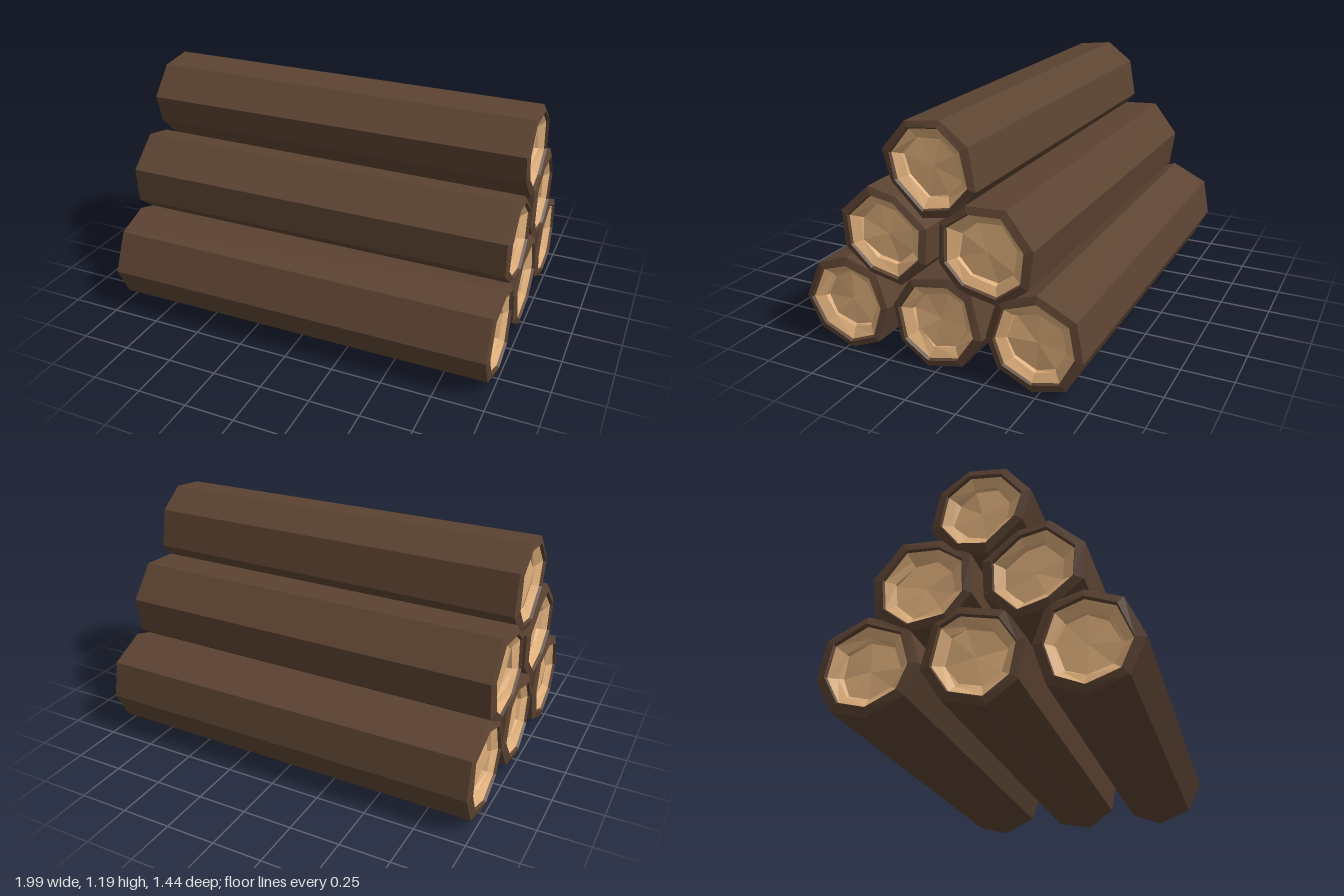
import * as THREE from 'three';

// Eight-sided log outlines as [z, y], clockwise seen from the +x end
const LOGS = {
  bottomFrontLog: [[.72, .24], [.635, .43], [.47, .49], [.31, .44], [.25, .265], [.31, .08], [.465, .015], [.645, .085]],
  bottomMiddleLog: [[.225, .3], [.13, .445], [-.085, .49], [-.19, .43], [-.24, .215], [-.135, .06], [.05, .02], [.19, .12]],
  bottomBackLog: [[-.25, .25], [-.305, .435], [-.5, .5], [-.685, .41], [-.72, .225], [-.64, .07], [-.475, .025], [-.305, .105]],
  middleFrontLog: [[.48, .72], [.325, .86], [.18, .83], [.025, .7], [.035, .525], [.17, .4], [.335, .435], [.47, .545]],
  middleBackLog: [[-.035, .75], [-.165, .845], [-.36, .855], [-.49, .69], [-.465, .505], [-.325, .4], [-.125, .435], [-.025, .555]],
  topLog: [[.24, 1.04], [.12, 1.18], [-.055, 1.2], [-.19, 1.1], [-.225, .905], [-.115, .775], [.045, .745], [.2, .895]],
};

// Small repeatable noise in -1..1
const noise = (n) => {
  const s = Math.sin(n * 12.9898) * 43758.5453;
  return 2 * (s - Math.floor(s)) - 1;
};

// Cross-section at x: outline scaled about its centre, with slight wobble
function ring(outline, x, scale, wobble = 0, seed = 0) {
  const cz = outline.reduce((s, p) => s + p[0], 0) / outline.length;
  const cy = outline.reduce((s, p) => s + p[1], 0) / outline.length;
  return outline.map(([z, y], j) => {
    const k = scale * (1 + wobble * noise(seed + j * 3.7));
    const dx = wobble * 0.12 * noise(seed + j * 5.1 + 2);
    return [x + dx, cy + (y - cy) * k, cz + (z - cz) * k];
  });
}

// Join rings that advance towards +x with flat facets
function loft(rings) {
  const pos = [];
  for (let i = 0; i < rings.length - 1; i++) {
    const n = rings[i].length;
    for (let j = 0; j < n; j++) {
      const k = (j + 1) % n;
      const a = rings[i][j], b = rings[i][k], c = rings[i + 1][k], d = rings[i + 1][j];
      pos.push(...a, ...d, ...c, ...a, ...c, ...b);
    }
  }
  const g = new THREE.BufferGeometry();
  g.setAttribute('position', new THREE.Float32BufferAttribute(pos, 3));
  g.computeVertexNormals();
  return g;
}

export function createModel() {
  const bark = new THREE.MeshStandardMaterial({ color: 0x5c4332, flatShading: true });
  const wood = new THREE.MeshStandardMaterial({ color: 0xe0b07c, flatShading: true });
  const stack = new THREE.Group();
  stack.name = 'logPile';

  Object.entries(LOGS).forEach(([name, outline], index) => {
    const log = new THREE.Group();
    log.name = name;
    const add = (part, rings, material) => {
      const mesh = new THREE.Mesh(loft(rings), material);
      mesh.name = part;
      log.add(mesh);
    };

    // Bark: side wall, chamfered rim and inner lip at one end, outside to inside
    const barkEnd = (side) => [
      ring(outline, side * 0.982, side > 0 ? 0.98 : 1.01),
      ring(outline, side * 0.994, 0.83, 0.03, index * 9 + side),
      ring(outline, side * 0.98, 0.8, 0.02, index * 9 + side),
    ];
    add('bark', [...barkEnd(-1).reverse(), ...barkEnd(1)], bark);

    // Cut wood: shallow dish, small step and flat heart
    for (const side of [-1, 1]) {
      const seed = index * 17 + side * 4;
      const rings = [
        ring(outline, side * 0.98, 0.8, 0.02, index * 9 + side),
        ring(outline, side * 0.955, 0.62, 0.05, seed),
        ring(outline, side * 0.942, 0.585, 0.07, seed + 1),
        ring(outline, side * 0.942, 0),
      ];
      add(side > 0 ? 'leftCutEnd' : 'rightCutEnd', side > 0 ? rings : rings.reverse(), wood);
    }
    stack.add(log);
  });

  // Rest the pile on the ground, centred
  const box = new THREE.Box3().setFromObject(stack);
  const centre = box.getCenter(new THREE.Vector3());
  stack.position.set(-centre.x, -box.min.y, -centre.z);
  const model = new THREE.Group();
  model.name = 'stackedLogs';
  model.add(stack);
  return model;
}
